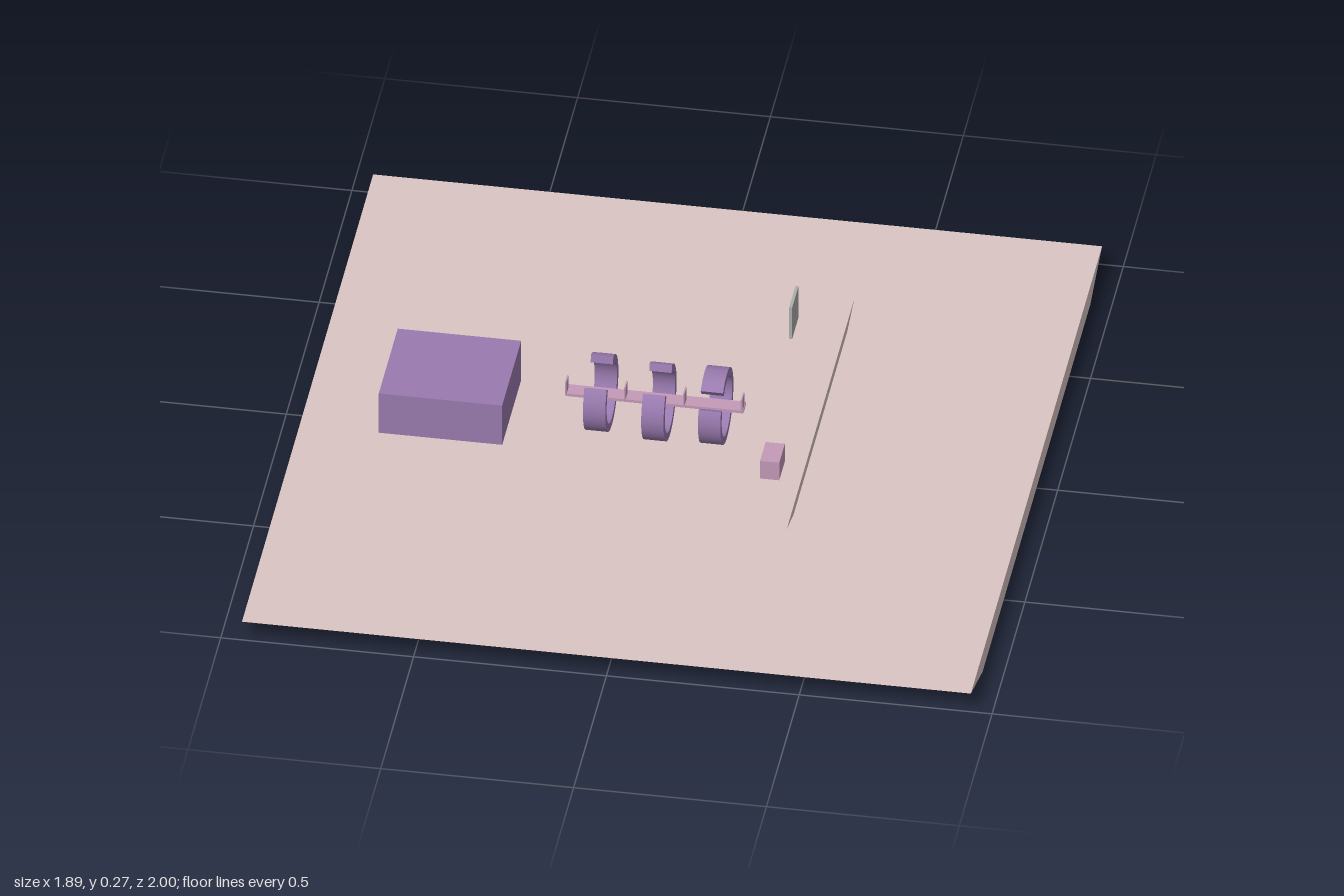
import * as THREE from 'three';

const mat = (color) => new THREE.MeshStandardMaterial({ color, flatShading: true, side: THREE.DoubleSide });

export function createModel() {
  const model = new THREE.Group();
  const pale = mat(0xdcc5c5), purple = mat(0x9a7bb0), pink = mat(0xc49ab8), grey = mat(0xacafac);

  const add = (name, geometry, material) => {
    const mesh = new THREE.Mesh(geometry, material);
    mesh.name = name;
    model.add(mesh);
    return mesh;
  };

  // Box given by its lower and upper limits on each axis
  const box = (name, [x0, x1], [y0, y1], [z0, z1], material) => {
    const mesh = add(name, new THREE.BoxGeometry(x1 - x0, y1 - y0, z1 - z0), material);
    mesh.position.set((x0 + x1) / 2, (y0 + y1) / 2, (z0 + z1) / 2);
    return mesh;
  };

  // Slab whose front and back ends slope in towards the underside
  const hull = (name, xs, ys, zs, inset) => {
    const mesh = box(name, xs, ys, zs, pale);
    const p = mesh.geometry.attributes.position;
    for (let i = 0; i < p.count; i++) {
      if (p.getY(i) < 0) p.setZ(i, p.getZ(i) - Math.sign(p.getZ(i)) * inset);
    }
    mesh.geometry.computeVertexNormals();
  };
  hull('baseHull', [-0.945, 0.945], [0, 0.057], [-1, 1], 0.18);
  hull('raisedHull', [0.19, 0.385], [0.138, 0.165], [-0.515, 0.515], 0.105);

  // Large housing with its rear annex
  box('housing', [-0.74, -0.42], [0.057, 0.18], [-0.17, 0.12], purple);
  box('housingAnnex', [-0.63, -0.535], [0.057, 0.122], [-0.235, -0.17], purple);

  // Cargo on the raised hull
  box('smallBlock', [0.28, 0.33], [0.165, 0.22], [0.22, 0.305], pink);
  box('uprightPanel', [0.25, 0.258], [0.165, 0.263], [-0.412, -0.315], grey);

  // Walkway with thin cross panels
  box('walkway', [-0.27, 0.19], [0.165, 0.173], [-0.012, 0.03], pink);
  for (const x of [-0.27, -0.117, 0.036, 0.186]) {
    box('crossPanel', [x - 0.002, x + 0.002], [0.17, 0.21], [0, 0.034], pink);
  }

  // Open rings around the walkway; gap angles run from the front up over the top
  const ring = (x, y, z, gapStart, gapEnd) => {
    const a = THREE.MathUtils.degToRad(gapEnd), b = THREE.MathUtils.degToRad(gapStart + 360);
    const shape = new THREE.Shape();
    shape.absarc(0, 0, 0.1, a, b, false);
    shape.absarc(0, 0, 0.079, b, a, true);
    shape.closePath();
    const geometry = new THREE.ExtrudeGeometry(shape, { depth: 0.058, bevelEnabled: false, curveSegments: 40 });
    geometry.translate(0, 0, -0.029);
    geometry.rotateY(-Math.PI / 2);
    add('openRing', geometry, purple).position.set(x, y, z);
  };
  ring(-0.185, 0.167, 0, 40, 103);
  ring(-0.032, 0.164, 0.012, 45, 108);
  ring(0.115, 0.169, 0.01, 26, 54);

  return model;
}
